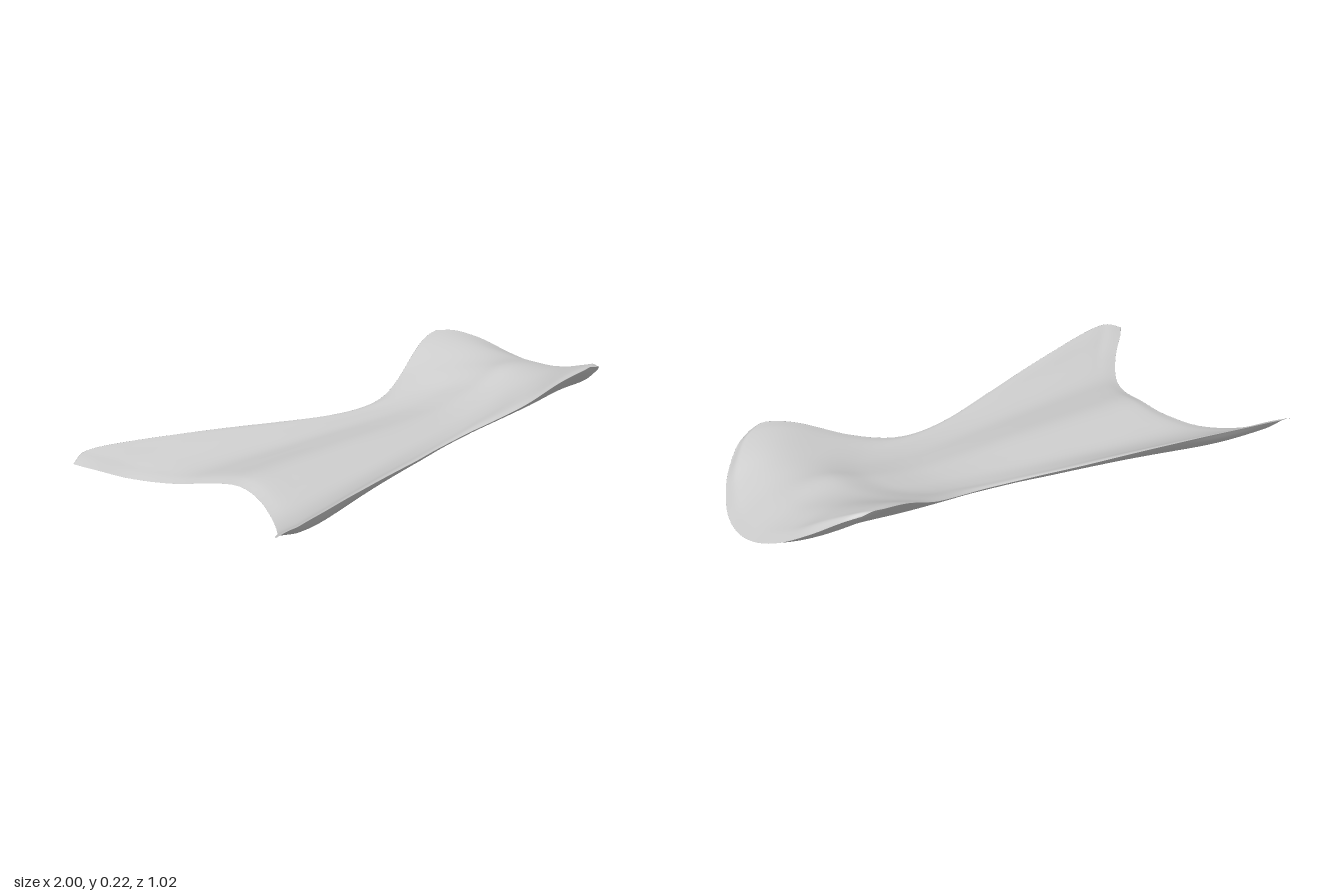
import * as THREE from 'three';
import { mergeVertices } from 'three/addons/utils/BufferGeometryUtils.js';

// smooth cubic interpolation through (knots, values); flatStart gives a mirrored start
function curve(knots, values, x, flatStart = false) {
  const n = knots.length;
  const slope = (i) => {
    if (i === 0 && flatStart) return 0;
    const a = Math.max(i - 1, 0), b = Math.min(i + 1, n - 1);
    return (values[b] - values[a]) / (knots[b] - knots[a]);
  };
  let i = 0;
  while (i < n - 2 && x > knots[i + 1]) i++;
  const h = knots[i + 1] - knots[i], u = (x - knots[i]) / h;
  const u2 = u * u, u3 = u2 * u;
  return (2 * u3 - 3 * u2 + 1) * values[i] + (u3 - 2 * u2 + u) * h * slope(i)
    + (3 * u2 - 2 * u3) * values[i + 1] + (u3 - u2) * h * slope(i + 1);
}

// plan outline: half width along the length, notched tail edge, rounded nose edge
const halfWidth = (s) => curve(
  [0, 0.045, 0.23, 0.457, 0.57, 0.67, 0.74, 0.857, 0.95, 1],
  [0.485, 0.508, 0.43, 0.32, 0.265, 0.24, 0.255, 0.325, 0.37, 0.362], s);
const tailX = (t) => curve([0, 0.2, 0.4, 0.57, 0.78, 0.93, 1],
  [-0.7, -0.712, -0.753, -0.805, -0.89, -0.97, -1], t, true);
const noseX = (t) => curve([0, 0.28, 0.5, 0.7, 0.9, 1], [1, 0.985, 0.95, 0.9, 0.82, 0.75], t, true);

// cross-section heights from the centre line to the rim, at stations from tail to nose
const across = [0, 0.25, 0.5, 0.75, 0.92, 1];
const stations = [0, 0.03, 0.1, 0.3, 0.57, 0.7, 0.8, 0.9, 0.97, 1];
const topRows = [
  [0.052, 0.037, 0.022, 0.038, 0.075, 0.09],
  [0.069, 0.05, 0.032, 0.053, 0.093, 0.11],
  [0.073, 0.055, 0.039, 0.063, 0.1, 0.115],
  [0.075, 0.062, 0.049, 0.068, 0.093, 0.1],
  [0.078, 0.073, 0.066, 0.066, 0.071, 0.07],
  [0.115, 0.108, 0.097, 0.09, 0.087, 0.078],
  [0.165, 0.155, 0.147, 0.142, 0.135, 0.122],
  [0.145, 0.15, 0.17, 0.195, 0.205, 0.198],
  [0.095, 0.104, 0.137, 0.19, 0.22, 0.225],
  [0.06, 0.07, 0.1, 0.153, 0.198, 0.215],
];
const bottomRows = [
  topRows[0],
  [0.036, 0.024, 0.01, 0.03, 0.073, 0.11],
  [0.034, 0.024, 0.004, 0.023, 0.07, 0.115],
  [0.035, 0.03, 0.02, 0.037, 0.073, 0.1],
  [0.036, 0.036, 0.036, 0.043, 0.057, 0.07],
  [0.042, 0.04, 0.04, 0.052, 0.066, 0.078],
  [0.05, 0.052, 0.06, 0.083, 0.106, 0.122],
  [0.055, 0.06, 0.082, 0.128, 0.173, 0.198],
  [0.055, 0.064, 0.09, 0.142, 0.195, 0.225],
  topRows[9],
];
const height = (rows, s, t) =>
  curve(across, across.map((_, k) => curve(stations, rows.map((r) => r[k]), s)), t, true);

function bodyGeometry(nS = 80, nT = 48) {
  const pos = [], index = [];
  [topRows, bottomRows].forEach((rows, side) => {
    const base = pos.length / 3;
    for (let i = 0; i <= nS; i++) {
      const s = 0.5 - 0.5 * Math.cos((Math.PI * i) / nS);
      for (let j = 0; j <= nT; j++) {
        const t = Math.sin((j / nT - 0.5) * Math.PI), a = Math.abs(t);
        pos.push(THREE.MathUtils.lerp(tailX(a), noseX(a), s), height(rows, s, a), t * halfWidth(s));
        if (i === nS || j === nT) continue;
        const p = base + i * (nT + 1) + j, q = p + nT + 1;
        if (side === 0) index.push(p, p + 1, q, p + 1, q + 1, q);
        else index.push(p, q, p + 1, p + 1, q, q + 1);
      }
    }
  });
  let geo = new THREE.BufferGeometry();
  geo.setAttribute('position', new THREE.Float32BufferAttribute(pos, 3));
  geo.setIndex(index);
  // weld the two skins along the rim
  geo = mergeVertices(geo, 1e-5);
  geo.computeBoundingBox();
  geo.translate(0, -geo.boundingBox.min.y, 0);
  geo.computeVertexNormals();
  return geo;
}

export function createModel() {
  const group = new THREE.Group();
  const body = new THREE.Mesh(bodyGeometry(), new THREE.MeshStandardMaterial({ color: 0xcccccc }));
  body.name = 'forkedBlade';
  group.add(body);
  return group;
}
